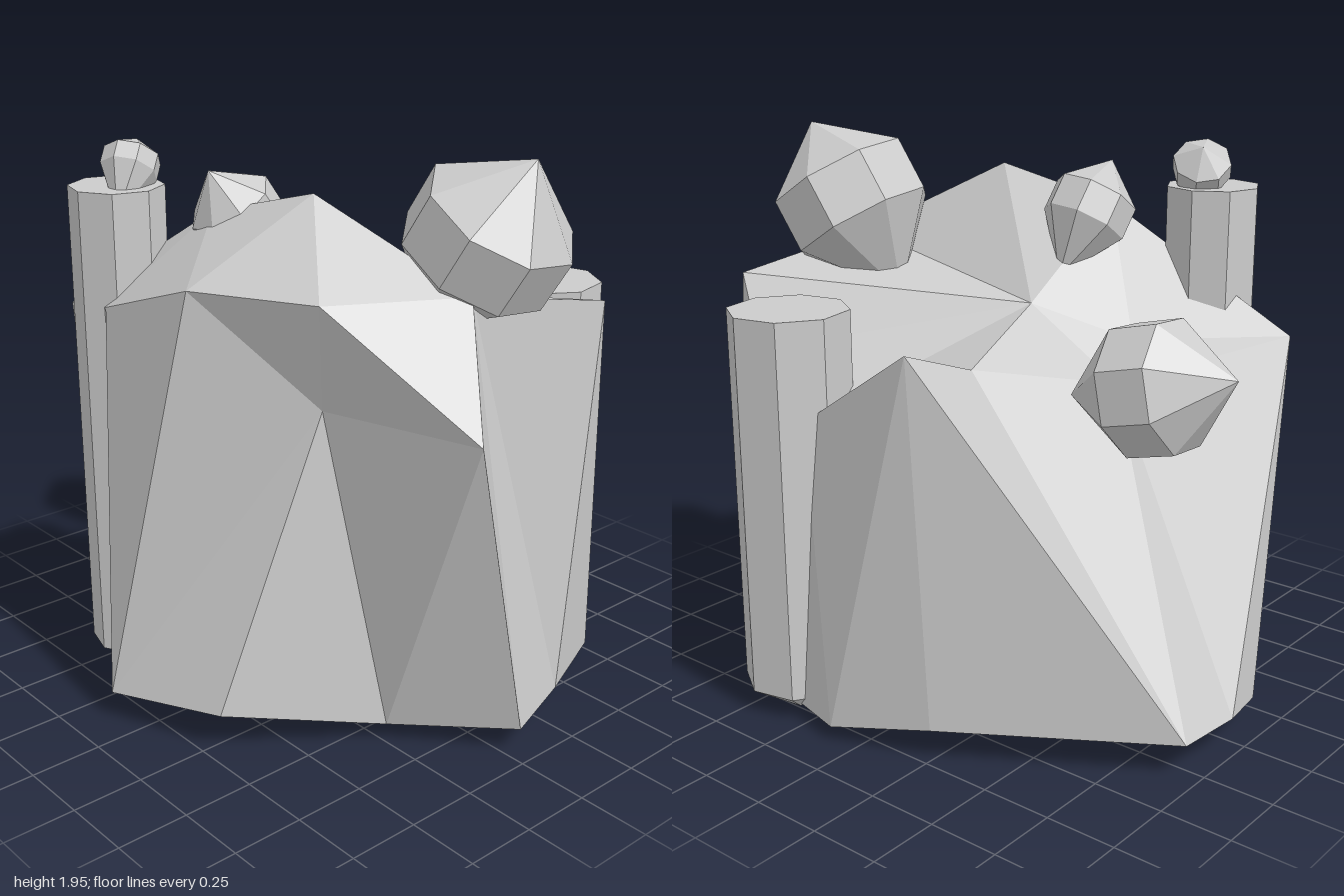
import * as THREE from 'three';

const stone = new THREE.MeshStandardMaterial({ color: 0xcccccc, flatShading: true, side: THREE.DoubleSide });
const V = (p) => new THREE.Vector3(...p);

function addMesh(group, name, geometry) {
  const flat = geometry.index ? geometry.toNonIndexed() : geometry;
  flat.computeVertexNormals();
  const mesh = new THREE.Mesh(flat, stone);
  mesh.name = name;
  group.add(mesh);
  return mesh;
}

// Joins two closed loops; each letter steps along the lower (l) or upper (u) loop
function stitch(lower, upper, steps, out) {
  let i = 0, j = 0;
  for (const s of steps) {
    const a = lower[i % lower.length], b = upper[j % upper.length];
    if (s === 'l') out.push(...a, ...lower[++i % lower.length], ...b);
    else out.push(...a, ...upper[++j % upper.length], ...b);
  }
}

// Boulder: open foot loop, jagged rim loop and a peaked, hollowed crown
function boulderGeometry() {
  const foot = [
    [-0.12, 0.10, 0.86], [0.30, 0.14, 0.71], [0.60, 0.06, 0.24], [0.95, 0.09, -0.04],
    [0.85, 0.09, -0.33], [0.68, 0.06, -0.70], [0.10, 0.05, -0.84], [-0.25, 0.11, -0.73],
    [-0.96, 0.12, -0.30], [-0.99, 0.13, -0.07], [-0.94, 0.10, 0.15], [-0.53, 0.07, 0.57],
  ];
  const spur = [-0.20, 1.37, -0.76], spurFoot = [-0.20, 1.26, -0.45], backDip = [0.30, 1.05, -0.72];
  const rim = [
    [-0.38, 1.38, 0.64], [0.10, 1.54, 0.65], [0.41, 1.16, 0.36], [1.00, 1.18, 0.25],
    [0.73, 1.54, 0.03], [0.82, 1.45, -0.50], [0.62, 1.22, -0.61], backDip,
    spur, spurFoot, [-0.45, 1.16, 0.00], [-0.81, 1.28, 0.51],
  ];
  const shoulder = [-0.18, 1.70, 0.33], peak = [0.23, 1.81, 0.24], ledge = [0.50, 1.54, 0.45];
  const hollow = [-0.11, 1.39, -0.03], shelf = [-0.40, 1.27, 0.16];
  const points = [];
  stitch(foot, rim, 'uullulululuululluulullul', points);
  // The spur stands outside the crown, so one triangle closes it off
  stitch(rim.filter((p) => p !== spur), [shoulder, peak, ledge, peak, hollow, shelf], 'luullluulllllulul', points);
  points.push(...backDip, ...spur, ...spurFoot);
  points.push(...peak, ...hollow, ...shoulder, ...hollow, ...shelf, ...shoulder);
  const geometry = new THREE.BufferGeometry();
  geometry.setAttribute('position', new THREE.Float32BufferAttribute(points, 3));
  return geometry;
}

// Crystal: pointed at both ends with a straight band, running from tip to apex
function addCrystal(group, name, tip, apex, radius, low, high, sides = 8) {
  const axis = V(apex).sub(V(tip));
  const length = axis.length();
  const profile = [[0, 0], [radius, low * length], [radius, high * length], [0, length]]
    .map(([r, y]) => new THREE.Vector2(r, y));
  const mesh = addMesh(group, name, new THREE.LatheGeometry(profile, sides, Math.PI / 8));
  mesh.position.set(...tip);
  mesh.quaternion.setFromUnitVectors(new THREE.Vector3(0, 1, 0), axis.normalize());
}

// Column: eight-sided prism with a flat top and a shallow off-centre point below
function addColumn(group, name, x, z, radius, bottom, top, spin, point) {
  const profile = [[0, point[1]], [radius, bottom], [radius, top], [0, top]]
    .map(([r, y]) => new THREE.Vector2(r, y));
  const geometry = new THREE.LatheGeometry(profile, 8, spin);
  const pos = geometry.attributes.position;
  for (let i = 0; i < pos.count; i++) {
    if (pos.getY(i) < bottom - 0.001) pos.setXYZ(i, point[0] - x, point[1], point[2] - z);
  }
  addMesh(group, name, geometry).position.set(x, 0, z);
}

export function createModel() {
  const model = new THREE.Group();
  model.name = 'crystalRock';

  addMesh(model, 'boulder', boulderGeometry());

  addColumn(model, 'frontColumn', -0.48, 0.51, 0.165, 0.06, 1.765, 0.12, [-0.44, 0, 0.42]);
  addColumn(model, 'backColumn', 0.41, -0.665, 0.208, 0.08, 1.41, -0.17, [0.30, 0.04, -0.79]);

  addCrystal(model, 'largeCrystal', [0.44, 1.36, -0.09], [0.80, 1.95, -0.16], 0.265, 0.41, 0.69);
  addCrystal(model, 'sideCrystal', [-0.41, 1.16, -0.20], [-1.00, 1.30, -0.15], 0.22, 0.38, 0.66);
  addCrystal(model, 'topCrystal', [-0.12, 1.46, 0.11], [-0.16, 1.84, 0.36], 0.15, 0.45, 0.70);
  addCrystal(model, 'smallCrystal', [-0.39, 1.68, 0.57], [-0.50, 1.905, 0.405], 0.1, 0.57, 0.78);

  return model;
}
